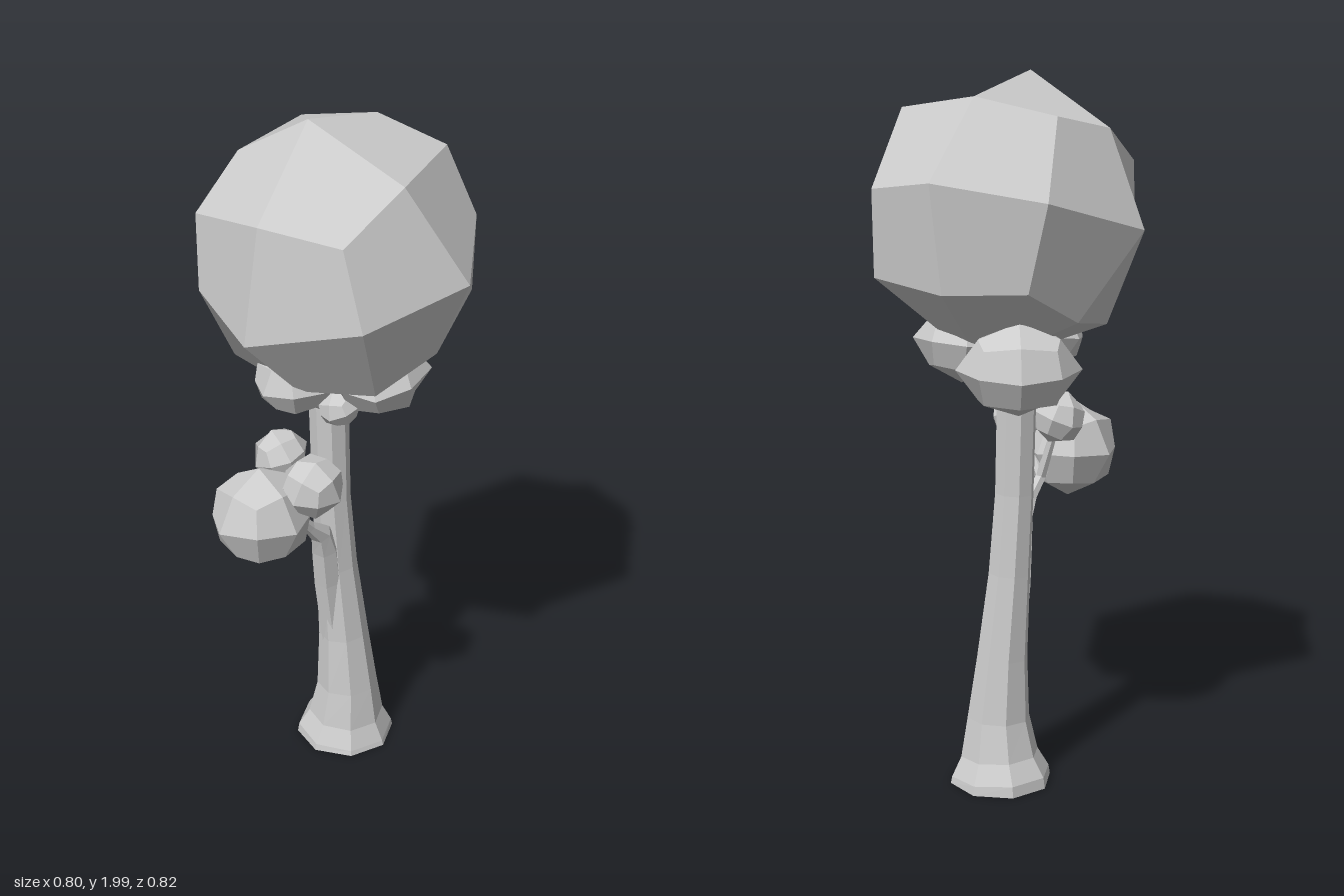
import * as THREE from 'three';

const barkMaterial = new THREE.MeshStandardMaterial({ color: 0xcccccc, flatShading: true });
const leafMaterial = new THREE.MeshStandardMaterial({ color: 0xcccccc });

// Leaf ball: a cube split 2 x 2 per face and rounded, then placed by a matrix
function leafBall(name, matrix) {
  const box = new THREE.BoxGeometry(2, 2, 2, 2, 2, 2);
  const reach = { 1: 1, 2: 0.91, 3: 0.98 }; // face centres, edge middles, corners
  const corner = (i) => {
    const p = new THREE.Vector3().fromBufferAttribute(box.attributes.position, i);
    const n = Math.round(p.lengthSq());
    return p.multiplyScalar(reach[n] / Math.sqrt(n)).applyMatrix4(matrix);
  };
  const verts = [], normals = [];
  for (let q = 0; q < box.index.count; q += 6) {
    // each facet is a four-sided panel with one shared normal
    const [a, b, c, d] = [0, 1, 4, 2].map(k => corner(box.index.getX(q + k)));
    const normal = c.clone().sub(a).cross(d.clone().sub(b)).normalize();
    for (const p of [a, b, c, a, c, d]) {
      verts.push(...p.toArray());
      normals.push(...normal.toArray());
    }
  }
  const geo = new THREE.BufferGeometry();
  geo.setAttribute('position', new THREE.Float32BufferAttribute(verts, 3));
  geo.setAttribute('normal', new THREE.Float32BufferAttribute(normals, 3));
  const mesh = new THREE.Mesh(geo, leafMaterial);
  mesh.name = name;
  return mesh;
}

function placed(center, size, turn) {
  return new THREE.Matrix4().compose(
    new THREE.Vector3(...center),
    new THREE.Quaternion().setFromEuler(new THREE.Euler(...turn, 'YXZ')),
    new THREE.Vector3(...size));
}

// Tapered limb through rings of [x, y, z, radius], closed at both ends
function limb(name, rings, sides) {
  const centers = rings.map(r => new THREE.Vector3(r[0], r[1], r[2]));
  const last = rings.length - 1;
  const verts = [], index = [];
  rings.forEach((ring, i) => {
    const t = centers[Math.min(i + 1, last)].clone().sub(centers[Math.max(i - 1, 0)]).normalize();
    const u = new THREE.Vector3(1, 0, 0);
    u.addScaledVector(t, -u.dot(t)).normalize();
    const v = t.clone().cross(u);
    for (let j = 0; j < sides; j++) {
      const a = ((j + 0.25) / sides) * Math.PI * 2;
      const p = centers[i].clone()
        .addScaledVector(u, Math.cos(a) * ring[3])
        .addScaledVector(v, Math.sin(a) * ring[3]);
      verts.push(p.x, p.y, p.z);
    }
  });
  const bottom = verts.length / 3, top = bottom + 1;
  verts.push(...centers[0].toArray(), ...centers[last].toArray());
  for (let j = 0; j < sides; j++) {
    const k = (j + 1) % sides;
    for (let i = 0; i < last; i++) {
      const a = i * sides + j, b = i * sides + k;
      index.push(a, b, b + sides, a, b + sides, a + sides);
    }
    index.push(bottom, k, j, top, last * sides + j, last * sides + k);
  }
  const geo = new THREE.BufferGeometry();
  geo.setAttribute('position', new THREE.Float32BufferAttribute(verts, 3));
  geo.setIndex(index);
  const flat = geo.toNonIndexed();
  flat.computeVertexNormals();
  const mesh = new THREE.Mesh(flat, barkMaterial);
  mesh.name = name;
  return mesh;
}

export function createModel() {
  const tree = new THREE.Group();
  tree.name = 'tree';

  // Trunk with a flared foot on a slightly slanted base
  tree.add(limb('trunk', [
    [-0.03, 0.012, -0.08, 0.146],
    [-0.03, 0.035, -0.08, 0.142],
    [-0.025, 0.09, -0.079, 0.112],
    [-0.02, 0.2, -0.078, 0.09],
    [-0.028, 0.38, -0.07, 0.073],
    [-0.037, 0.62, -0.05, 0.06],
    [-0.04, 0.85, -0.033, 0.055],
    [-0.042, 1.15, -0.025, 0.056],
    [-0.035, 1.32, -0.03, 0.045],
  ], 8));

  // Side branch swelling out of the front of the trunk
  tree.add(limb('sideBranch', [
    [-0.035, 0.36, -0.045, 0.042],
    [-0.03, 0.58, -0.01, 0.042],
    [-0.02, 0.7, 0.01, 0.04],
    [-0.008, 0.765, 0.035, 0.032],
    [0.003, 0.81, 0.085, 0.018],
    [0.012, 0.92, 0.19, 0.014],
  ], 6));

  // Twigs reaching into the leaf balls
  const twigs = [
    [[0.006, 0.86, 0.13], [0.1, 1.0, 0.16]],
    [[0.006, 0.86, 0.13], [-0.045, 1.02, 0.14]],
    [[-0.04, 1.12, -0.03], [-0.13, 1.21, -0.12]],
    [[-0.035, 1.12, -0.02], [-0.015, 1.26, 0.11]],
    [[-0.03, 1.12, -0.03], [0.05, 1.19, 0.01]],
    [[-0.03, 1.14, -0.04], [0.08, 1.26, -0.1]],
  ];
  for (const [from, to] of twigs) tree.add(limb('twig', [[...from, 0.016], [...to, 0.01]], 6));

  // Crown: the large leaf ball, tilted
  tree.add(leafBall('crown', new THREE.Matrix4().makeBasis(
    new THREE.Vector3(0.4, 0.01, -0.095),
    new THREE.Vector3(0.01, 0.39, 0.108),
    new THREE.Vector3(0.09, -0.125, 0.388),
  ).setPosition(0, 1.61, -0.021)));

  // Small leaf balls: centre, radii, turn
  const balls = [
    [[0.013, 0.922, 0.263], [0.147, 0.145, 0.147], [0.02, 0.03, 0.02]],
    [[0.115, 1.02, 0.165], [0.09, 0.09, 0.092], [0.2, 0.25, -0.25]],
    [[-0.05, 1.04, 0.14], [0.085, 0.078, 0.08], [0.3, -0.3, 0.2]],
    [[-0.14, 1.225, -0.125], [0.17, 0.13, 0.145], [-0.1, 0.785, 0]],
    [[-0.02, 1.275, 0.117], [0.12, 0.095, 0.112], [0.12, 0.05, 0]],
    [[0.05, 1.187, 0.015], [0.064, 0.056, 0.064], [0.3, 0.4, 0.2]],
    [[0.08, 1.27, -0.1], [0.145, 0.112, 0.165], [0.1, 0.785, 0.1]],
  ];
  for (const [center, size, turn] of balls) tree.add(leafBall('leafBall', placed(center, size, turn)));

  return tree;
}
